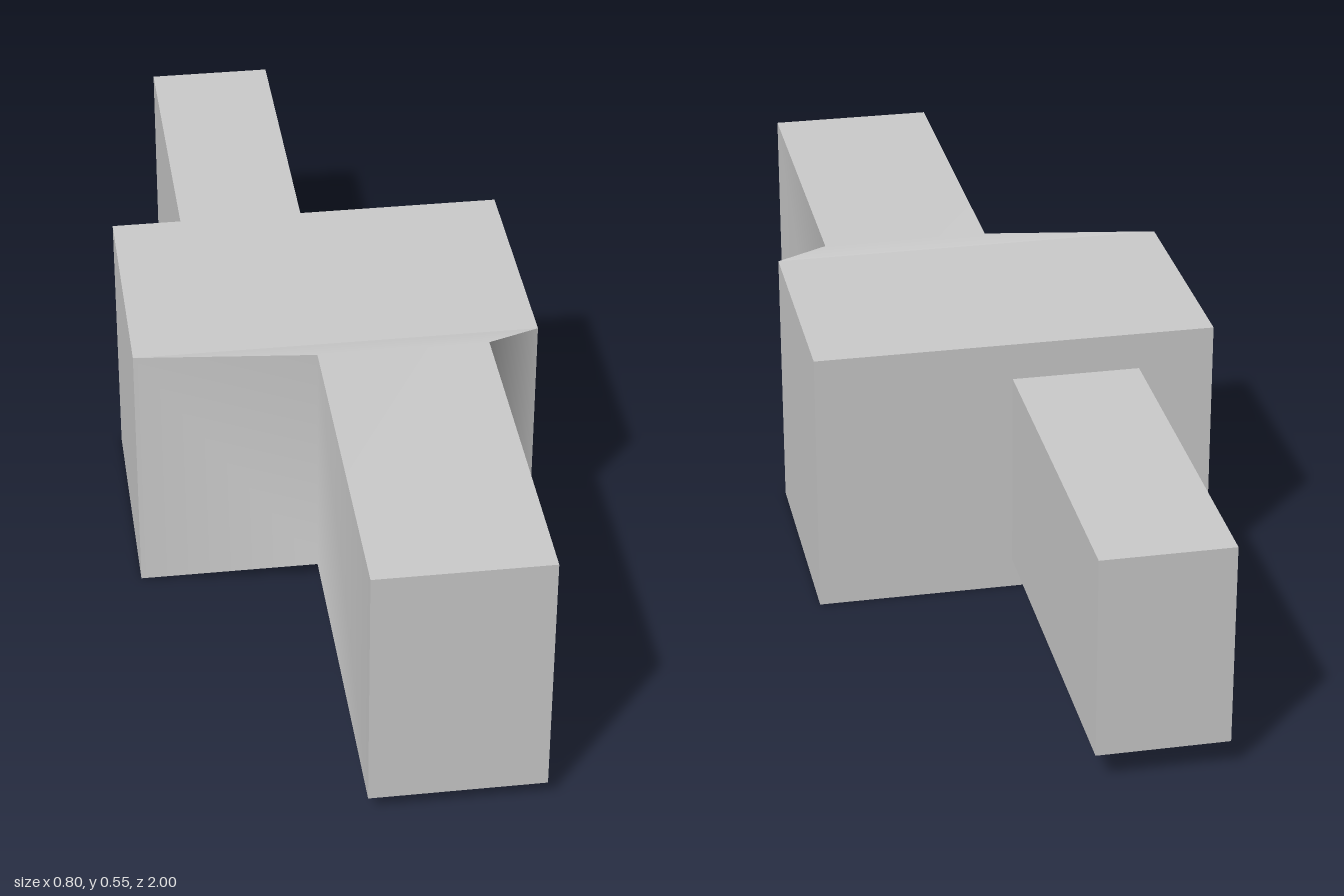
import * as THREE from 'three';

// Box given by its limits on each axis
function block(name, material, [x0, x1], [y0, y1], [z0, z1]) {
  const geometry = new THREE.BoxGeometry(x1 - x0, y1 - y0, z1 - z0);
  geometry.translate((x0 + x1) / 2, (y0 + y1) / 2, (z0 + z1) / 2);
  const mesh = new THREE.Mesh(geometry, material);
  mesh.name = name;
  return mesh;
}

// Rectangular sections joined along z: each side is smooth lengthwise, corners stay sharp
function loft(sections) {
  const positions = [];
  const indices = [];
  const corners = ({ x: [x0, x1], y: [y0, y1], z }) => [[x0, y0, z], [x1, y0, z], [x1, y1, z], [x0, y1, z]];
  const rings = sections.map(corners);
  for (let side = 0; side < 4; side++) {
    const start = positions.length / 3;
    for (const ring of rings) positions.push(...ring[side], ...ring[(side + 1) % 4]);
    for (let i = 0; i < rings.length - 1; i++) {
      const a = start + i * 2;
      indices.push(a, a + 1, a + 3, a, a + 3, a + 2);
    }
  }
  // Front end cap
  const cap = positions.length / 3;
  rings[rings.length - 1].forEach((corner) => positions.push(...corner));
  indices.push(cap, cap + 1, cap + 2, cap, cap + 2, cap + 3);

  const geometry = new THREE.BufferGeometry();
  geometry.setAttribute('position', new THREE.Float32BufferAttribute(positions, 3));
  geometry.setIndex(indices);
  geometry.computeVertexNormals();
  return geometry;
}

export function createModel() {
  const model = new THREE.Group();
  model.name = 'steppedBlock';

  const grey = new THREE.MeshStandardMaterial({ color: 0xcccccc });
  grey.name = 'light grey';

  // Central body and the narrow bar behind it
  model.add(block('body', grey, [-0.4, 0.398], [0, 0.54], [-0.25, 0.24]));
  model.add(block('rearBar', grey, [-0.25, 0.005], [0.06, 0.465], [-1, -0.25]));

  // Front bar, flaring out to meet the body
  const bar = { x: [-0.045, 0.293], y: [0.035, 0.546] };
  const frontBar = new THREE.Mesh(loft([
    { x: [-0.4, 0.398], y: [0, 0.54], z: 0.24 },
    { ...bar, z: 0.285 },
    { ...bar, z: 1 },
  ]), grey);
  frontBar.name = 'frontBar';
  model.add(frontBar);

  return model;
}
